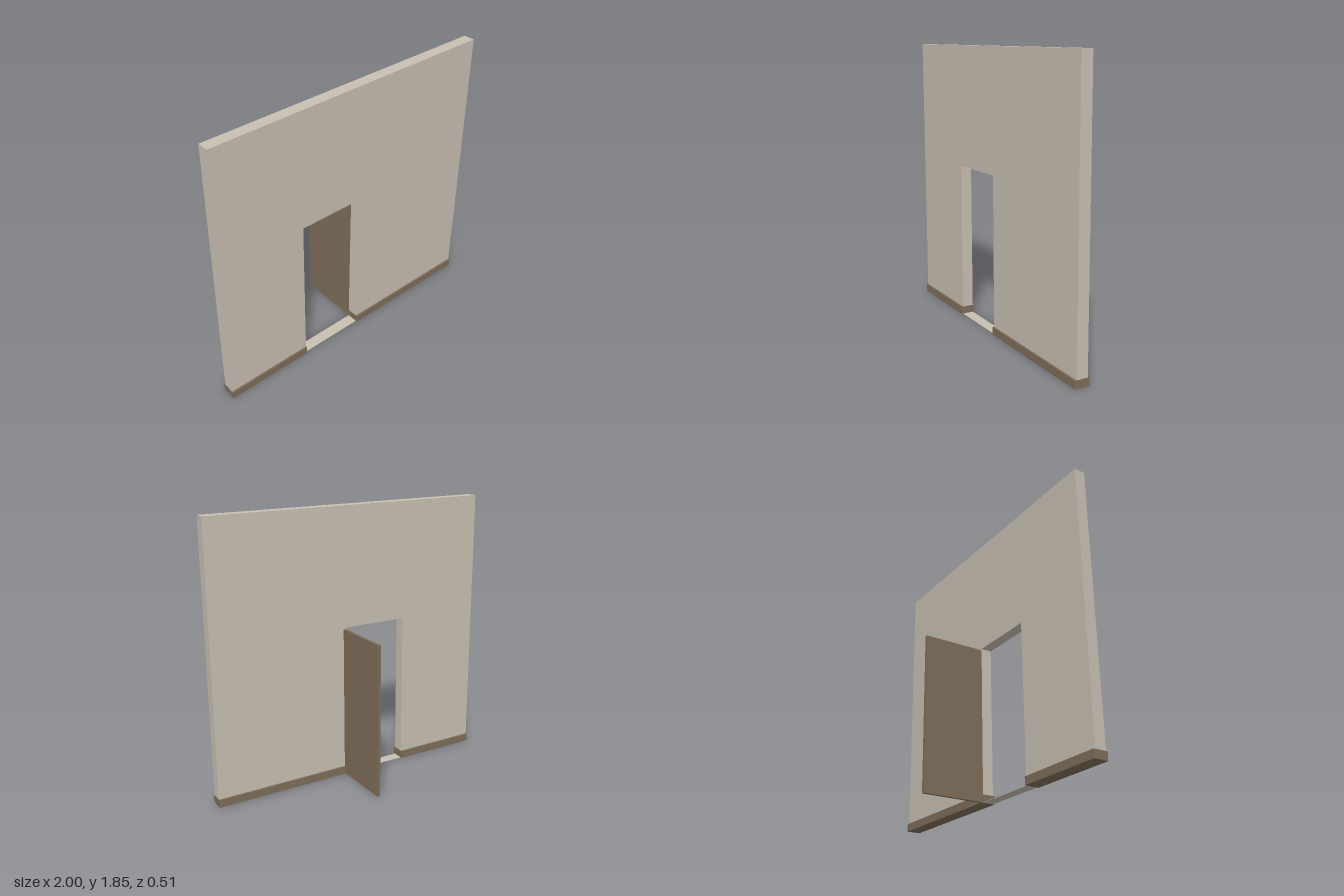
import * as THREE from 'three';

export function createModel() {
  const model = new THREE.Group();
  model.name = 'wallWithOpenDoor';

  const plaster = new THREE.MeshStandardMaterial({ color: 0xc9c0b3 });
  plaster.name = 'plaster';
  const wood = new THREE.MeshStandardMaterial({ color: 0x7f6e5a });
  wood.name = 'brown wood';

  const wallZ = 0.205, wallDepth = 0.074;
  const baseHeight = 0.053, baseDepth = 0.096;
  const openLeft = -0.4, openRight = 0.05, openTop = 1.05, wallTop = 1.85;

  // Box given by its lower and upper corners
  function addBox(name, material, [x0, y0, z0], [x1, y1, z1]) {
    const mesh = new THREE.Mesh(new THREE.BoxGeometry(x1 - x0, y1 - y0, z1 - z0), material);
    mesh.position.set((x0 + x1) / 2, (y0 + y1) / 2, (z0 + z1) / 2);
    mesh.name = name;
    model.add(mesh);
  }

  // Wall with doorway, standing on the baseboards
  const outline = new THREE.Shape();
  [[-1, baseHeight], [openLeft, baseHeight], [openLeft, openTop], [openRight, openTop],
    [openRight, baseHeight], [1, baseHeight], [1, wallTop], [-1, wallTop]]
    .forEach(([x, y], i) => (i ? outline.lineTo(x, y) : outline.moveTo(x, y)));
  outline.closePath();
  const wall = new THREE.Mesh(
    new THREE.ExtrudeGeometry(outline, { depth: wallDepth, bevelEnabled: false }), plaster);
  wall.position.z = wallZ - wallDepth / 2;
  wall.name = 'wall';
  model.add(wall);

  // Baseboards, projecting on both faces of the wall
  const baseBack = wallZ - baseDepth / 2, baseFront = wallZ + baseDepth / 2;
  addBox('baseboardRight', wood, [-1, 0, baseBack], [openLeft, baseHeight, baseFront]);
  addBox('baseboardLeft', wood, [openRight, 0, baseBack], [1, baseHeight, baseFront]);

  // Thin threshold across the doorway
  addBox('threshold', plaster,
    [openLeft, 0, wallZ - wallDepth / 2], [openRight, 0.002, wallZ + wallDepth / 2]);

  // Door leaf, swung open to the back
  addBox('door', wood,
    [openRight, 0.002, -0.253], [openRight + 0.02, 1.04, wallZ - wallDepth / 2]);

  return model;
}
